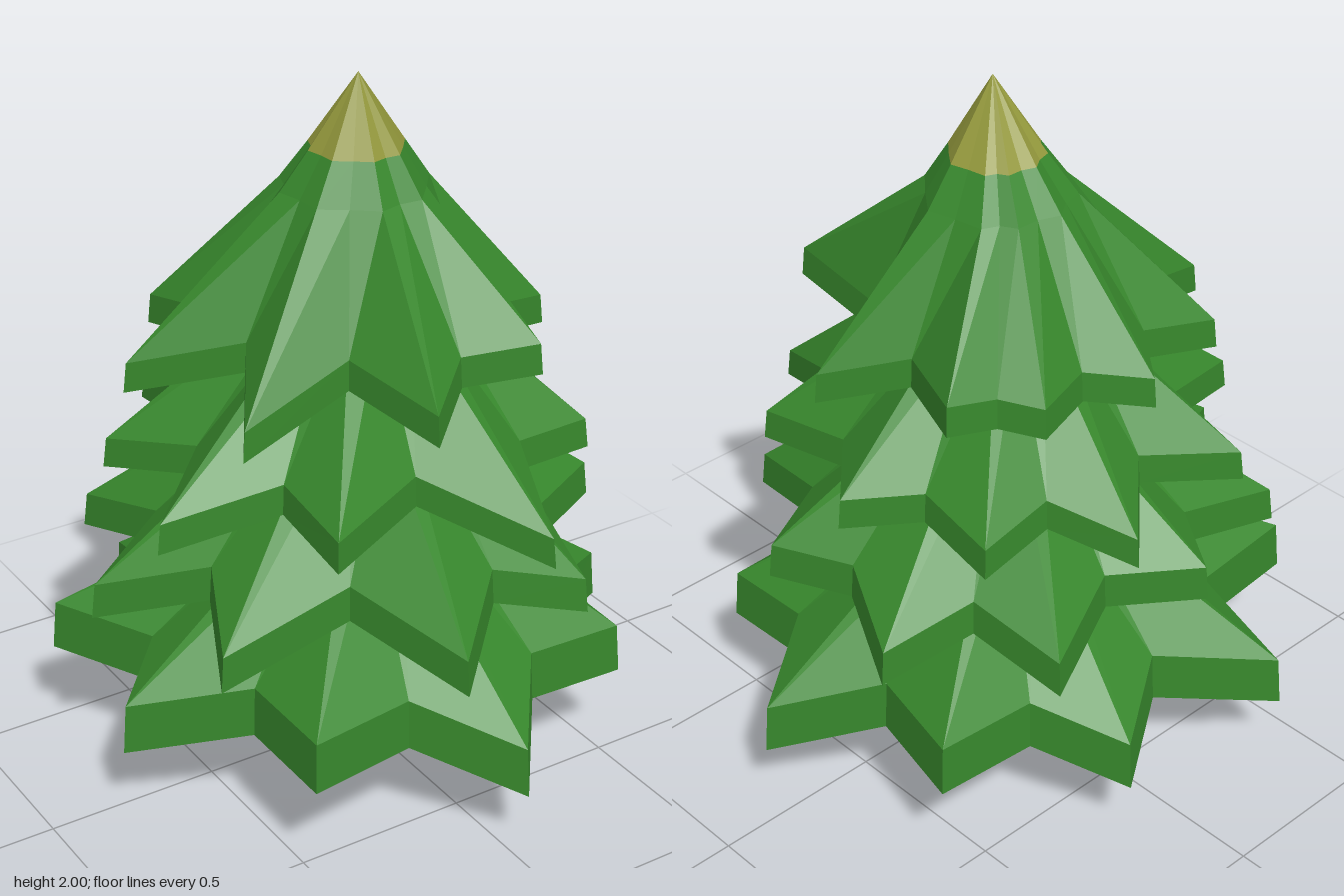
import * as THREE from 'three';

const mat = (name, color) => Object.assign(new THREE.MeshStandardMaterial({ color, flatShading: true }), { name });

const polar = (deg, r, y) => {
  const a = THREE.MathUtils.degToRad(deg);
  return new THREE.Vector3(Math.cos(a) * r, y, Math.sin(a) * r);
};

// Skin closed rings listed from top to bottom, with facets facing outward
function loft(rings) {
  const points = [];
  const tri = (a, b, c) => {
    if (!a.equals(b) && !b.equals(c) && !a.equals(c)) points.push(a, b, c);
  };
  for (let k = 0; k < rings.length - 1; k++) {
    const upper = rings[k], lower = rings[k + 1];
    upper.forEach((p, i) => {
      const j = (i + 1) % upper.length;
      tri(p, upper[j], lower[j]);
      tri(p, lower[j], lower[i]);
    });
  }
  const geometry = new THREE.BufferGeometry().setFromPoints(points);
  geometry.computeVertexNormals();
  return geometry;
}

// Put a raised valley halfway between neighbouring tips; wider gaps cut deeper
function starPoints(tips, valleyRadius, valleyY) {
  return tips.flatMap(([angle, radius, y], i) => {
    const gap = (tips[(i + 1) % tips.length][0] - angle + 360) % 360;
    return [
      { angle, radius, y, spread: 1 },
      { angle: angle + gap / 2, radius: valleyRadius - (gap - 40) * 0.006, y: valleyY, spread: 0.9 },
    ];
  });
}

export function createModel() {
  const green = mat('needleGreen', 0x37872c);
  const olive = mat('tipOlive', 0x94993c);
  const brown = mat('barkBrown', 0x67360c);
  const tree = new THREE.Group();
  tree.name = 'pineTree';
  const add = (name, geometry, material) => {
    const mesh = new THREE.Mesh(geometry, material);
    mesh.name = name;
    tree.add(mesh);
  };

  // One branch tier: sloping star skirt, thick rim and closed underside.
  // Tips are [angle in degrees, radius, height]; only the top tier carries the pale tip.
  const addTier = (name, valleyRadius, valleyY, thickness, tips, hasTip = false) => {
    const star = starPoints(tips, valleyRadius, valleyY);
    const ring = (r, y, z) => star.map((p) => polar(p.angle, r * p.spread, y).add(new THREE.Vector3(0, 0, z)));
    const collarY = valleyY + 0.34;
    const apex = star.map(() => new THREE.Vector3(-0.01, hasTip ? 2 : collarY + 0.14, 0.01));
    const tipEdge = ring(0.135, 1.79, -0.012);
    add(name, loft([
      hasTip ? tipEdge : apex,
      ring(0.21, collarY, -0.02),
      star.map((p) => polar(p.angle, p.radius * 0.985, p.y)),
      star.map((p) => polar(p.angle, p.radius, p.y - thickness)),
      star.map(() => new THREE.Vector3(0, valleyY - thickness - 0.02, 0)),
    ]), green);
    if (hasTip) add('treeTip', loft([apex, tipEdge]), olive);
  };

  addTier('bottomBranches', 0.59, 0.42, 0.145, [
    [4, 0.81, 0.34], [44, 0.75, 0.41], [87, 0.78, 0.32], [131, 0.775, 0.425], [175, 0.81, 0.365],
    [209, 0.88, 0.43], [244, 0.87, 0.34], [284, 0.765, 0.34], [323, 0.795, 0.425],
  ]);
  addTier('lowerMiddleBranches', 0.55, 0.75, 0.1, [
    [16, 0.685, 0.75], [62, 0.71, 0.68], [102, 0.8, 0.67], [149, 0.8, 0.66], [186, 0.81, 0.67],
    [221, 0.8, 0.69], [259, 0.715, 0.75], [300, 0.76, 0.68], [337, 0.725, 0.655],
  ]);
  addTier('upperMiddleBranches', 0.49, 1.03, 0.085, [
    [353, 0.63, 1.02], [38, 0.63, 1.02], [79, 0.74, 0.91], [127, 0.7, 0.99], [165, 0.77, 0.97],
    [203, 0.71, 0.99], [240, 0.71, 0.98], [280, 0.69, 0.96], [315, 0.665, 0.99],
  ]);
  addTier('topBranches', 0.41, 1.34, 0.085, [
    [12, 0.545, 1.28], [67, 0.575, 1.37], [103, 0.6, 1.28], [151, 0.62, 1.225], [194, 0.66, 1.26],
    [227, 0.605, 1.3], [263, 0.55, 1.31], [299, 0.545, 1.33], [325, 0.575, 1.36],
  ], true);

  // Six-sided trunk, leaning a little
  const trunkRing = (x, y, r) => Array.from({ length: 6 }, (_, i) => {
    const p = polar(30 + i * 60, r, y);
    return p.set(p.x * 1.19 + x, y, p.z - 0.053);
  });
  add('trunk', loft([trunkRing(-0.095, 0.4, 0.14), trunkRing(-0.04, 0, 0.14), trunkRing(-0.04, 0, 0)]), brown);
  return tree;
}
